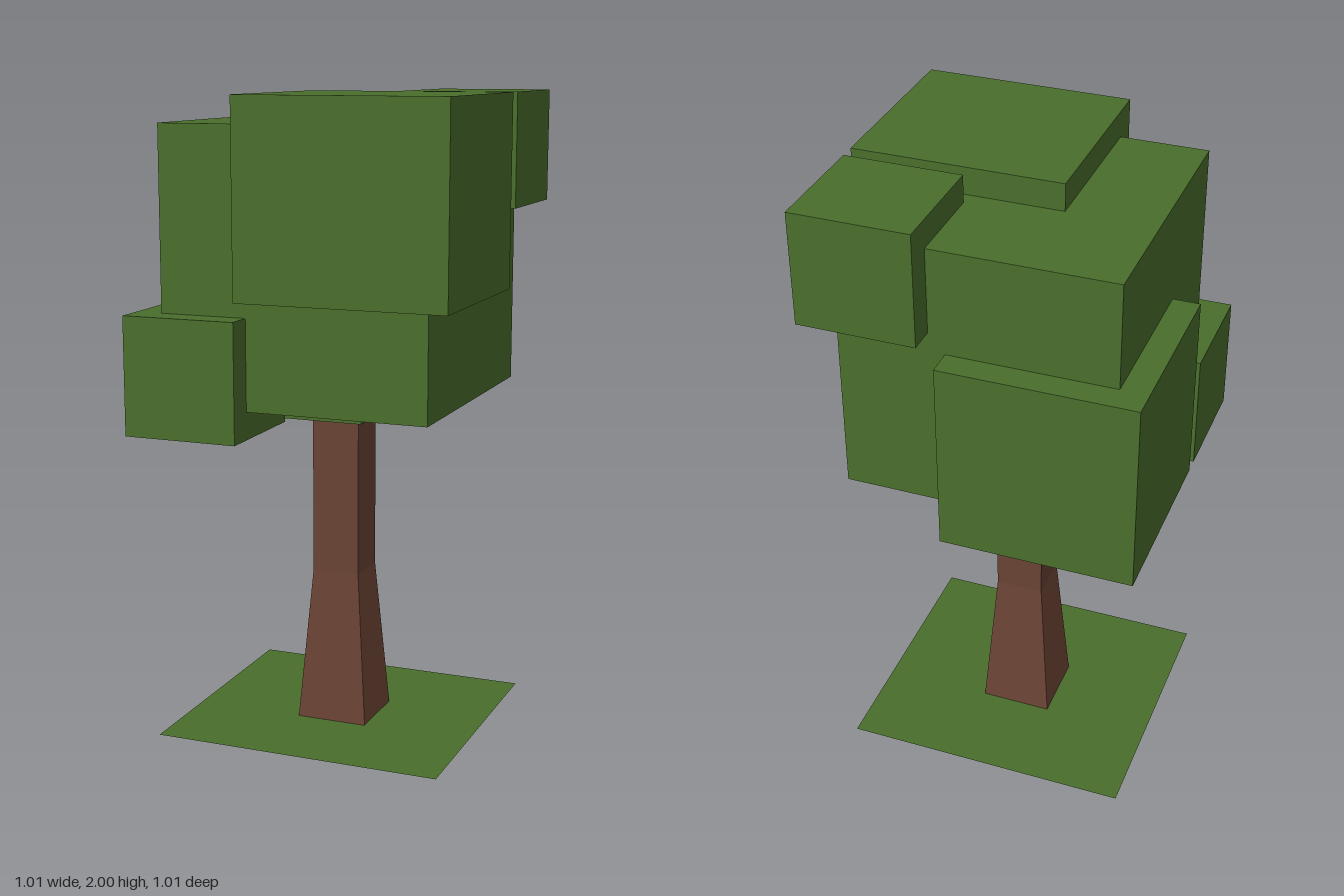
import * as THREE from 'three';

export function createModel() {
  const tree = new THREE.Group();
  tree.name = 'tree';

  const leafGreen = new THREE.MeshStandardMaterial({ color: 0x4a6f2c });
  leafGreen.name = 'leafGreen';
  const grassGreen = new THREE.MeshStandardMaterial({ color: 0x4a6f2c, side: THREE.DoubleSide });
  grassGreen.name = 'grassGreen';
  const barkBrown = new THREE.MeshStandardMaterial({ color: 0x6b4335, flatShading: true });
  barkBrown.name = 'barkBrown';

  const add = (name, geometry, material) => {
    const mesh = new THREE.Mesh(geometry, material);
    mesh.name = name;
    tree.add(mesh);
    return mesh;
  };

  // Box given by its lowest and highest corners
  const block = (name, [x0, y0, z0], [x1, y1, z1]) =>
    add(name, new THREE.BoxGeometry(x1 - x0, y1 - y0, z1 - z0), leafGreen)
      .position.set((x0 + x1) / 2, (y0 + y1) / 2, (z0 + z1) / 2);

  // Square trunk section, tapering between two half widths
  const trunkSection = (name, y0, y1, bottom, top, open) => {
    const geometry = new THREE.CylinderGeometry(top * Math.SQRT2, bottom * Math.SQRT2, y1 - y0, 4, 1, open);
    geometry.rotateY(Math.PI / 4);
    add(name, geometry, barkBrown).position.y = (y0 + y1) / 2;
  };

  // Foliage: a central cube with four cubes set into its corners
  block('foliageCore', [-0.42, 1.075, -0.42], [0.42, 1.915, 0.42]);
  block('foliageFrontTop', [-0.145, 1.41, -0.09], [0.505, 2, 0.505]);
  block('foliageBackTop', [0.14, 1.65, -0.505], [0.505, 2, -0.137]);
  block('foliageFrontLow', [-0.505, 0.99, 0.137], [-0.145, 1.355, 0.505]);
  block('foliageBackLow', [-0.505, 0.99, -0.505], [0.09, 1.59, 0.09]);

  // Trunk with a flared foot
  trunkSection('trunkFoot', 0, 0.5, 0.115, 0.076, false);
  trunkSection('trunk', 0.5, 1.09, 0.076, 0.076, true);

  // Flat grass patch just above the bottom of the trunk
  const patch = new THREE.PlaneGeometry(0.916, 0.845);
  patch.rotateX(-Math.PI / 2);
  add('grassPatch', patch, grassGreen).position.y = 0.015;

  return tree;
}
